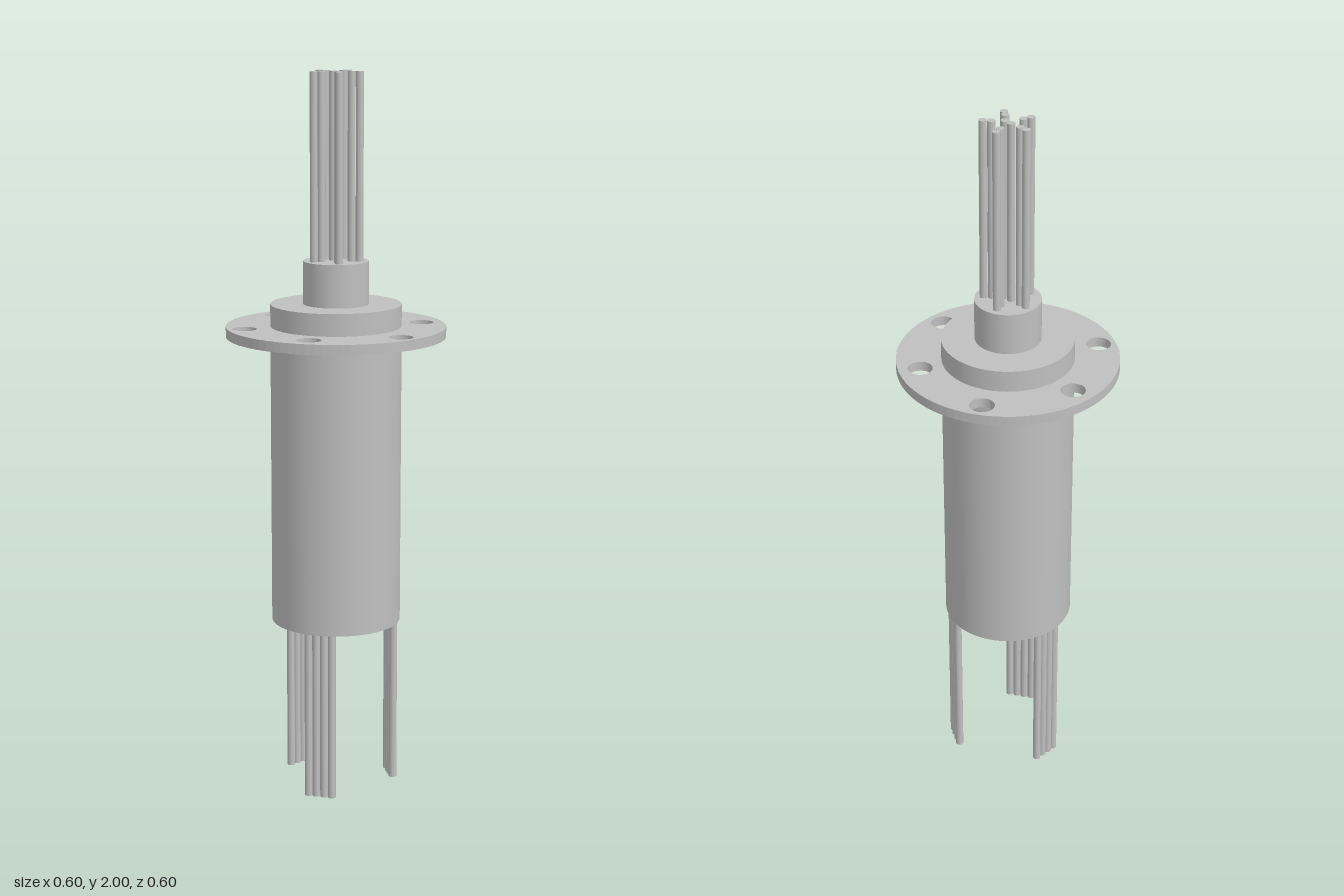
import * as THREE from 'three';

export function createModel() {
  const model = new THREE.Group();
  model.name = 'slipRing';
  const metal = new THREE.MeshStandardMaterial({ color: 0xbfbfbf });
  metal.name = 'grey metal';

  const add = (name, geometry, parent = model) => {
    const mesh = new THREE.Mesh(geometry, metal);
    mesh.name = name;
    parent.add(mesh);
    return mesh;
  };
  const cylinder = (name, r, y0, y1, x = 0, z = 0, sides = 64, parent = model) => {
    const mesh = add(name, new THREE.CylinderGeometry(r, r, y1 - y0, sides), parent);
    mesh.position.set(x, (y0 + y1) / 2, z);
  };

  // Barrel and neck
  cylinder('barrel', 0.18, 0.476, 1.372);
  cylinder('neck', 0.09, 1.372, 1.49);

  // Mounting flange with six bolt holes, extruded downwards from its top face
  const disc = new THREE.Shape().absarc(0, 0, 0.302, 0, Math.PI * 2, false);
  const bore = new THREE.Path().absarc(0, 0, 0.178, 0, Math.PI * 2, true);
  disc.holes.push(bore);
  const bolts = [[0, -0.243], [0, 0.254], [0.221, -0.127], [-0.221, -0.127], [0.21, 0.121], [-0.21, 0.121]];
  for (const [x, z] of bolts) {
    disc.holes.push(new THREE.Path().absarc(x, z, 0.0335, 0, Math.PI * 2, true));
  }
  const plate = new THREE.ExtrudeGeometry(disc, { depth: 0.028, bevelEnabled: false, curveSegments: 40 });
  plate.rotateX(Math.PI / 2);
  add('flange', plate).position.y = 1.311;

  // Upper wires: a central pair in the plane of symmetry and mirrored pairs
  const upper = new THREE.Group();
  upper.name = 'upperWires';
  model.add(upper);
  for (const z of [-0.066, -0.044, -0.012, 0.011]) {
    cylinder('upperWire', 0.0107, 1.48, 2, 0, z, 20, upper);
  }
  for (const [x, z] of [[0.062, -0.021], [0.041, -0.014], [0.025, 0.035], [0.038, 0.053]]) {
    for (const s of [-1, 1]) cylinder('upperWire', 0.0107, 1.48, 2, s * x, z, 20, upper);
  }

  // Lower wires: three flat rows of four, each tangent to the barrel
  const rows = [[0, -0.155, 0], [0.135, 0.082, Math.PI / 3], [-0.136, 0.082, -Math.PI / 3]];
  for (const [x, z, turn] of rows) {
    const row = new THREE.Group();
    row.name = 'lowerWireRow';
    row.position.set(x, 0, z);
    row.rotation.y = turn;
    model.add(row);
    for (let i = 0; i < 4; i++) {
      cylinder('lowerWire', 0.011, 0, 0.485, (i - 1.5) * 0.0225, 0, 20, row);
    }
  }
  return model;
}
